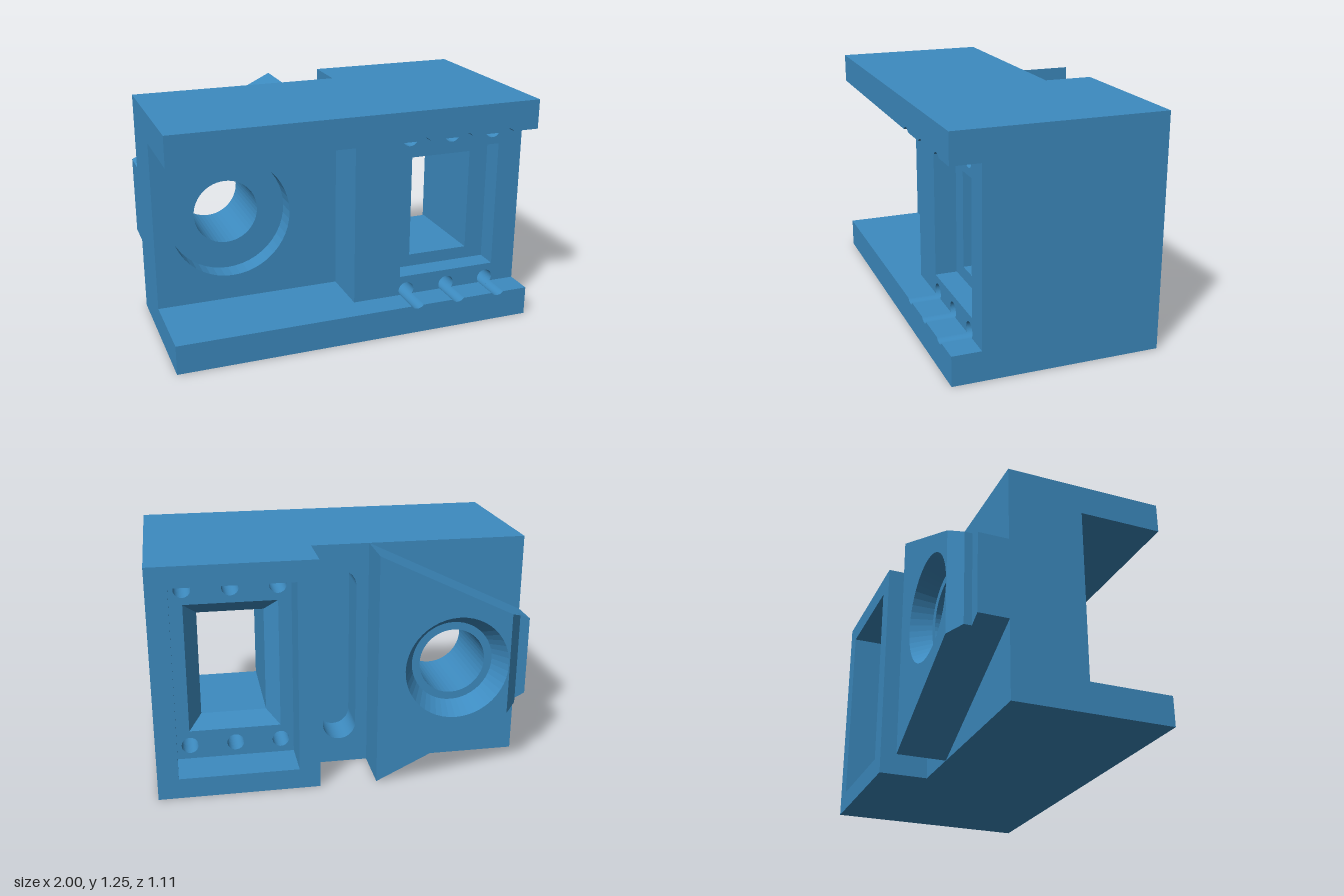
import * as THREE from 'three';

const H = 1.25, BORE = [-0.58, 0.625];
const material = new THREE.MeshStandardMaterial({ color: 0x3d8bc0, flatShading: true });
const thin = material.clone();
thin.side = THREE.DoubleSide;

const polygon = pts => new THREE.Shape(pts.map(p => new THREE.Vector2(p[0], p[1])));
const rect = (x0, x1, y0, y1) => polygon([[x0, y0], [x1, y0], [x1, y1], [x0, y1]]);
const circle = (x, y, r) => new THREE.Shape().absarc(x, y, r, 0, Math.PI * 2, false);

// Vertical slot with round ends
function slot(x, y0, y1, r) {
  const s = new THREE.Shape();
  s.absarc(x, y1 - r, r, 0, Math.PI, false);
  s.absarc(x, y0 + r, r, Math.PI, Math.PI * 2, false);
  return s;
}

// Solid slab between two depths, pierced by holes
function slab(group, name, z0, z1, outline, holes = []) {
  const shape = polygon(outline.getPoints(16).map(p => [p.x, p.y]));
  shape.holes = holes;
  const geo = new THREE.ExtrudeGeometry(shape, { depth: z1 - z0, bevelEnabled: false, curveSegments: 24 });
  geo.translate(0, 0, z0);
  const mesh = new THREE.Mesh(geo, material);
  mesh.name = name;
  group.add(mesh);
  return mesh;
}

// Sloped rectangular ring between two rectangles [cx, cy, halfW, halfH, z]
function funnel(a, b) {
  const ring = ([cx, cy, w, h, z]) => [[-1, -1], [1, -1], [1, 1], [-1, 1]].map(([i, j]) => [cx + i * w, cy + j * h, z]);
  const A = ring(a), B = ring(b), pos = [];
  for (let i = 0; i < 4; i++) {
    const j = (i + 1) % 4;
    pos.push(...A[i], ...A[j], ...B[j], ...A[i], ...B[j], ...B[i]);
  }
  const geo = new THREE.BufferGeometry();
  geo.setAttribute('position', new THREE.Float32BufferAttribute(pos, 3));
  geo.computeVertexNormals();
  return geo;
}

export function createModel() {
  const model = new THREE.Group();
  model.name = 'mountingBlock';
  const body = new THREE.Group();
  body.name = 'body';
  const wedge = new THREE.Group();
  wedge.name = 'wedgeBoss';
  model.add(body, wedge);

  const screwX = [0.33, 0.575, 0.82], screwY = 0.187, screwR = 0.045;
  const screws = screwX.flatMap(x => [circle(x, screwY, screwR), circle(x, H - screwY, screwR)]);
  const bore = () => circle(...BORE, 0.178);
  const window = rect(0.4, 0.75, 0.34, 0.913);
  const backSlot = slot(0, 0.14, 1.11, 0.09);

  // Front flanges, grooved where the screw holes break through
  const flange = new THREE.Shape();
  flange.moveTo(-1, 0.16);
  flange.lineTo(-1, 0);
  flange.lineTo(1, 0);
  flange.lineTo(1, 0.16);
  const a = Math.asin((screwY - 0.16) / screwR);
  for (const x of [...screwX].reverse()) flange.absarc(x, screwY, screwR, -a, a - Math.PI, true);
  slab(body, 'lowerFlange', 0.4, 0.555, flange);
  slab(body, 'upperFlange', 0.4, 0.555, polygon(flange.getPoints(16).map(p => [p.x, H - p.y])));

  // Stepped front: raised section beside the recessed plate
  const stepped = polygon([[-1, 0], [1, 0], [1, H], [-1, H], [-1, 1.09], [0.02, 1.09], [0.02, 0.16], [-1, 0.16]]);
  slab(body, 'frontPocket', 0.28, 0.4, stepped, [rect(0.29, 0.86, 0.27, 0.98), ...screws]);
  slab(body, 'windowSection', 0.11, 0.28, stepped, [window, ...screws]);

  // Full-width core with the counterbore, bore and slot
  const full = rect(-1, 1, 0, H);
  slab(body, 'counterbore', -0.005, 0.11, full, [circle(...BORE, 0.33), window, ...screws]);
  slab(body, 'core', -0.09, -0.005, full, [bore(), window, ...screws]);
  slab(body, 'slottedCore', -0.26, -0.09, full, [bore(), window, backSlot, ...screws]);
  slab(body, 'backPlate', -0.29, -0.26, rect(-1, 0.15, 0, H), [bore(), backSlot]);

  // Rear block with a chamfered window and a deep pocket
  const rear = rect(0.15, 1, 0, H);
  slab(body, 'rearLedge', -0.33, -0.26, rear, [rect(0.33, 0.82, 0.27, 0.98), ...screws]);
  slab(body, 'rearPocketWalls', -0.555, -0.33, rear, [rect(0.26, 0.89, 0.11, 1.14)]);
  const chamfer = new THREE.Mesh(
    funnel([0.575, 0.625, 0.245, 0.355, -0.33], [0.575, 0.6265, 0.175, 0.2865, -0.26]), thin);
  chamfer.name = 'windowChamfer';
  body.add(chamfer);

  // Tapering wedge behind the bore, stepped and chamfered at its narrow end
  const drop = x => 0.485 * (-0.155 - x);
  const taper = x => polygon([[-0.155, 0], [-0.155, H], [x, H - drop(x)], [x, drop(x)]]);
  const sink = () => circle(...BORE, 0.28);
  slab(wedge, 'wedgeBase', -0.45, -0.29, taper(-1), [bore()]);
  slab(wedge, 'wedgeStep', -0.49, -0.45, taper(-0.93), [sink()]);
  const tip = slab(wedge, 'wedgeTop', -0.555, -0.49, taper(-0.93), [sink()]);
  const p = tip.geometry.attributes.position;
  for (let i = 0; i < p.count; i++) {
    if (p.getX(i) < -0.92 && p.getZ(i) < -0.55) {
      p.setX(i, -0.865);
      p.setY(i, p.getY(i) > H / 2 ? H - drop(-0.865) : drop(-0.865));
    }
  }
  tip.geometry.computeVertexNormals();

  // Conical countersink around the rear of the bore
  const cone = new THREE.CylinderGeometry(0.22, 0.28, 0.105, 48, 1, true);
  cone.rotateX(Math.PI / 2);
  cone.translate(...BORE, -0.5025);
  const countersink = new THREE.Mesh(cone, thin);
  countersink.name = 'countersink';
  wedge.add(countersink);

  return model;
}
